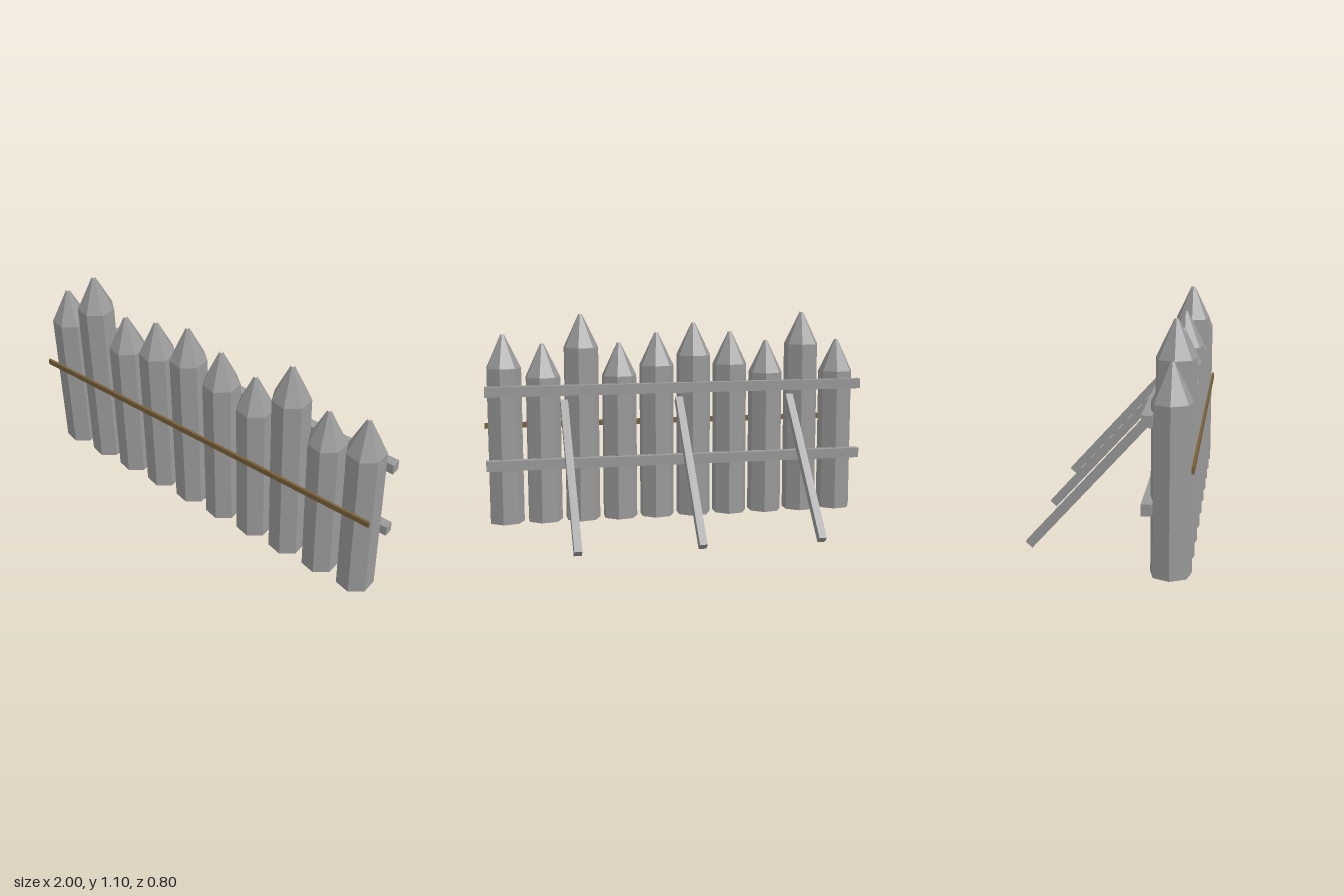
import * as THREE from 'three';

export function createModel() {
  const group = new THREE.Group();
  const wood = new THREE.MeshStandardMaterial({ color: 0x999999, flatShading: true });
  wood.name = 'greyWood';
  const brown = new THREE.MeshStandardMaterial({ color: 0x78603a, flatShading: true });
  brown.name = 'brownStrip';

  function add(name, geometry, material, x, y, z) {
    const mesh = new THREE.Mesh(geometry, material);
    mesh.name = name;
    mesh.position.set(x, y, z);
    group.add(mesh);
    return mesh;
  }

  // Seven-sided stakes with sharpened, slightly blunt tips
  const radius = 0.0925, base = 0.02, pointHeight = 0.172;
  const tips = [0.95, 1.1, 0.95, 1.0, 1.05, 1.0, 0.95, 1.1, 0.95, 1.0];
  tips.forEach((tip, i) => {
    const profile = [
      new THREE.Vector2(0, base),
      new THREE.Vector2(radius, base),
      new THREE.Vector2(radius, tip - pointHeight),
      new THREE.Vector2(0.009, tip),
    ];
    add('stake' + (i + 1), new THREE.LatheGeometry(profile, 7, -Math.PI / 2), wood, -0.9 + i * 0.2, 0, 0.3);
  });

  // Two horizontal rails behind the stakes
  const railGeometry = new THREE.BoxGeometry(2, 0.052, 0.046);
  add('lowerRail', railGeometry, wood, 0, 0.336, 0.203);
  add('upperRail', railGeometry, wood, 0, 0.716, 0.203);

  // Slanted braces from the ground up to the rails
  const top = new THREE.Vector3(0, 0.657, 0.197);
  const foot = new THREE.Vector3(0, 0.0145, -0.383);
  const run = top.clone().sub(foot);
  const middle = top.clone().add(foot).multiplyScalar(0.5);
  const braceGeometry = new THREE.BoxGeometry(0.038, run.length(), 0.042);
  for (const x of [-0.6, 0, 0.6]) {
    const brace = add('brace', braceGeometry, wood, x, middle.y, middle.z);
    brace.rotation.x = Math.atan2(run.z, run.y);
  }

  // Thin strip across the front
  add('frontStrip', new THREE.BoxGeometry(2, 0.029, 0.012), brown, 0, 0.515, 0.396);

  return group;
}
